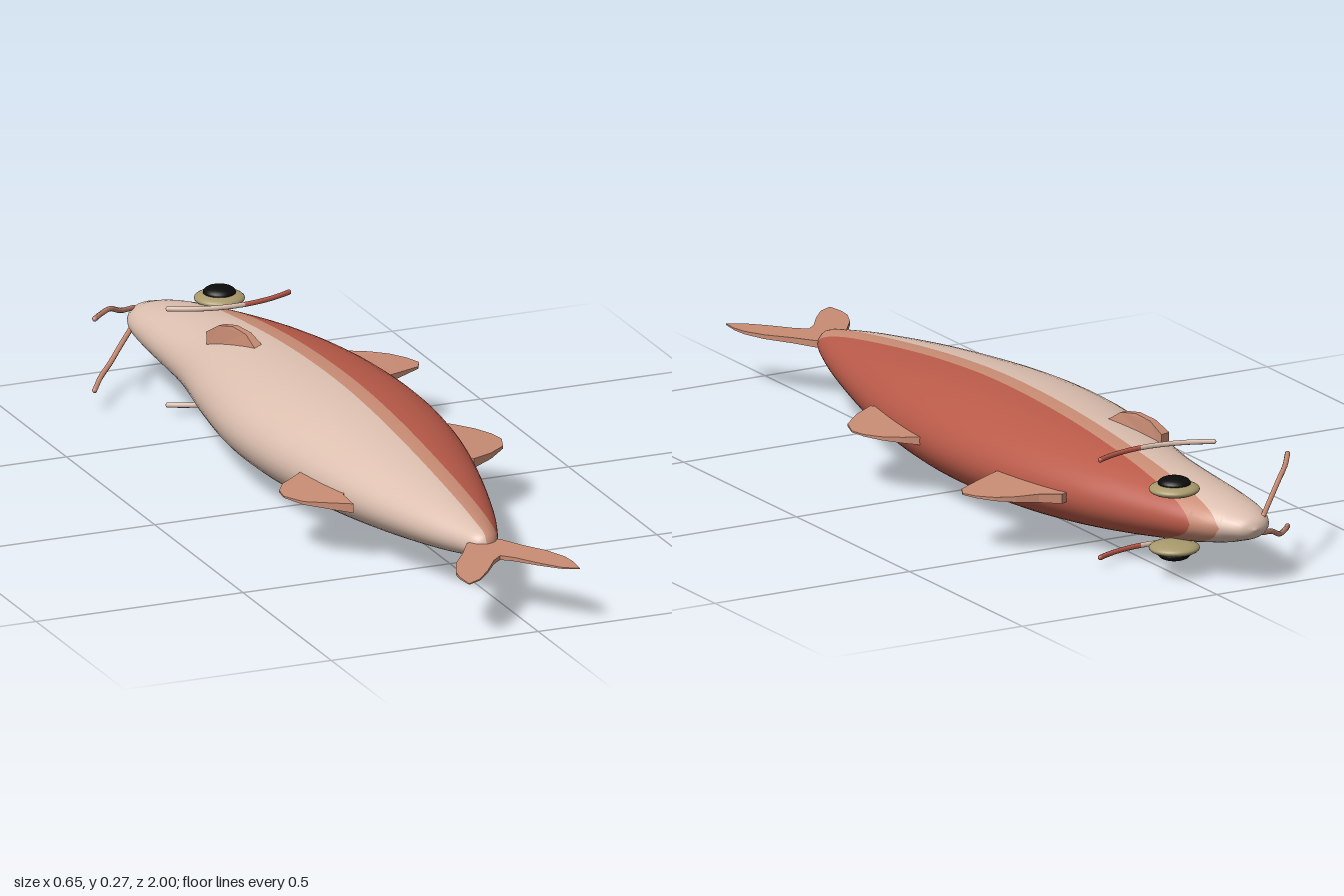
import * as THREE from 'three';

const MID = 0.138; // height of the symmetry plane
const mat = (name, color, side = THREE.FrontSide) =>
  Object.assign(new THREE.MeshStandardMaterial({ color, side }), { name });

// Body stations: z, belly x, back x, half thickness
const STATIONS = [
  [-1.0, -0.1, -0.1, 0], [-0.985, -0.137, -0.066, 0.022], [-0.95, -0.162, -0.035, 0.036],
  [-0.9, -0.175, 0.0, 0.05], [-0.8, -0.182, 0.047, 0.067], [-0.6, -0.193, 0.122, 0.091],
  [-0.4, -0.228, 0.17, 0.11], [-0.2, -0.253, 0.192, 0.12], [0, -0.249, 0.191, 0.12],
  [0.2, -0.222, 0.167, 0.108], [0.4, -0.184, 0.122, 0.087], [0.6, -0.129, 0.065, 0.06],
  [0.72, -0.083, 0.022, 0.039], [0.77, -0.058, -0.002, 0.026], [0.787, -0.03, -0.03, 0],
];
const spline = (f) => new THREE.CatmullRomCurve3(STATIONS.map(f), false, 'catmullrom');

// Loft of ellipses, divided into colour bands at fixed x
function bodyGeometry() {
  const sides = spline((s) => new THREE.Vector3(s[1], s[2], s[3]));
  const length = spline((s) => new THREE.Vector3(s[0], 0, 0));
  const section = (t) => {
    const s = sides.getPoint(t);
    return { c: (s.x + s.y) / 2, a: Math.max(0, (s.y - s.x) / 2), b: Math.max(0, s.z), z: length.getPoint(t).x };
  };
  const point = (s, th) => new THREE.Vector3(s.c + s.a * Math.cos(th), MID + s.b * Math.sin(th), s.z);
  const split = (s, x) => Math.acos(THREE.MathUtils.clamp((x - s.c) / Math.max(s.a, 1e-5), -1, 1));
  // band: start angle, end angle, columns, material index
  const bands = [
    [(s) => -split(s, 0.007), (s) => split(s, 0.007), 24, 0],
    [(s) => split(s, 0.007), (s) => split(s, -0.032), 4, 1],
    [(s) => split(s, -0.032), (s) => 2 * Math.PI - split(s, -0.032), 24, 2],
    [(s) => -split(s, -0.032), (s) => -split(s, 0.007), 4, 1],
  ];
  const rows = 98, pos = [], nor = [], idx = [];
  const geo = new THREE.BufferGeometry();
  for (const [from, to, cols, m] of bands) {
    const base = pos.length / 3, start = idx.length;
    for (let i = 0; i <= rows; i++) {
      const t = i / rows, s = section(t);
      const s0 = section(Math.max(0, t - 1e-3)), s1 = section(Math.min(1, t + 1e-3));
      for (let j = 0; j <= cols; j++) {
        const th = THREE.MathUtils.lerp(from(s), to(s), j / cols);
        const around = new THREE.Vector3(0, s.b * Math.cos(th), 0).setX(-s.a * Math.sin(th));
        const n = around.cross(point(s1, th).sub(point(s0, th)));
        if (i === 0 || i === rows) n.set(0, 0, i ? 1 : -1);
        pos.push(...point(s, th).toArray());
        nor.push(...n.normalize().toArray());
        if (i < rows && j < cols) {
          const p = base + i * (cols + 1) + j, q = p + cols + 1;
          idx.push(p, p + 1, q + 1, p, q + 1, q);
        }
      }
    }
    geo.addGroup(start, idx.length - start, m);
  }
  geo.setAttribute('position', new THREE.Float32BufferAttribute(pos, 3));
  geo.setAttribute('normal', new THREE.Float32BufferAttribute(nor, 3));
  geo.setIndex(idx);
  return geo;
}

// Flat fin from an outline, thinning with distance from its root
function finGeometry(outline, half, rootDistance) {
  const shape = new THREE.Shape(outline.map(([u, v]) => new THREE.Vector2(u, v)));
  const geo = new THREE.ExtrudeGeometry(shape, { depth: 1, bevelEnabled: false });
  geo.translate(0, 0, -0.5);
  const p = geo.attributes.position;
  for (let i = 0; i < p.count; i++) {
    const d = THREE.MathUtils.clamp(rootDistance(p.getX(i), p.getY(i)), 0, 1);
    p.setZ(i, Math.sign(p.getZ(i)) * half * (1 - 0.85 * d));
  }
  geo.computeVertexNormals();
  return geo;
}

export function createModel() {
  const model = new THREE.Group();
  model.name = 'fish';
  const red = mat('back red', 0xb95a49);
  const tan = mat('fin tan', 0xc98c74);
  const cream = mat('belly cream', 0xdcbfaf);
  const khaki = mat('eye ring khaki', 0xa8996c);
  const black = mat('pupil black', 0x0b0b0b);
  const add = (name, geo, material, parent = model) => {
    const mesh = new THREE.Mesh(geo, material);
    mesh.name = name;
    parent.add(mesh);
    return mesh;
  };

  add('body', bodyGeometry(), [red, tan, cream]);

  // Fins in the symmetry plane, outlines as x, z
  const planeFin = (name, outline, half, root) => {
    const mesh = add(name, finGeometry(outline, half, root), tan);
    mesh.rotation.x = Math.PI / 2;
    mesh.position.y = MID;
  };
  planeFin('frontDorsalFin', [[0.11, -0.55], [0.148, -0.57], [0.19, -0.54], [0.24, -0.522], [0.278, -0.497],
    [0.305, -0.462], [0.32, -0.425], [0.305, -0.395], [0.245, -0.365], [0.18, -0.335], [0.14, -0.36]],
  0.011, (x) => (x - 0.17) / 0.15);
  planeFin('rearDorsalFin', [[0.16, 0], [0.19, -0.015], [0.222, 0.01], [0.255, 0.045], [0.277, 0.085],
    [0.285, 0.125], [0.267, 0.175], [0.22, 0.218], [0.165, 0.25], [0.13, 0.2]],
  0.011, (x) => (x - 0.17) / 0.115);
  planeFin('analFin', [[-0.19, 0.18], [-0.225, 0.178], [-0.285, 0.22], [-0.308, 0.255], [-0.314, 0.295],
    [-0.29, 0.35], [-0.245, 0.39], [-0.202, 0.427], [-0.198, 0.36], [-0.16, 0.3]],
  0.011, (x) => (-x - 0.2) / 0.115);

  // Forked tail, one lobe mirrored
  const lobe = [[0.04, 0.765], [0.07, 0.815], [0.11, 0.87], [0.132, 0.92], [0.137, 0.955],
    [0.134, 1.0], [0.1, 0.982], [0.06, 0.935], [0.025, 0.885]];
  const tail = [[-0.03, 0.74], ...lobe.map(([x, z]) => [-0.033 + x, z]), [-0.033, 0.862],
    ...lobe.map(([x, z]) => [-0.033 - x, z]).reverse()];
  planeFin('tailFin', tail, 0.008, (x, z) => (z - 0.76) / 0.24);

  // Paired parts, built on the upper flank and mirrored to the lower one
  const barbelPath = new THREE.CatmullRomCurve3([[-0.14, 0.158, -0.965], [-0.2, 0.18, -0.9],
    [-0.24, 0.202, -0.862], [-0.285, 0.212, -0.81], [-0.322, 0.222, -0.758]].map((p) => new THREE.Vector3(...p)));
  const gill = (x0, x1) => {
    const pts = [];
    for (let i = 0; i <= 8; i++) {
      const x = x0 + ((x1 - x0) * i) / 8, k = (x + 0.032) / 0.147;
      pts.push(new THREE.Vector3(x, 0.251, -0.64 - 0.04 * k * k));
    }
    return new THREE.CatmullRomCurve3(pts);
  };
  const capped = (name, curve, radius, material, parent) => {
    add(name, new THREE.TubeGeometry(curve, 16, radius, 8), material, parent);
    for (const t of [0, 1]) {
      add(name + 'End', new THREE.SphereGeometry(radius, 8, 6), material, parent)
        .position.copy(curve.getPoint(t));
    }
  };
  for (const s of [1, -1]) {
    const side = new THREE.Group();
    side.name = s > 0 ? 'upperFlank' : 'lowerFlank';
    side.scale.y = s;
    side.position.y = s > 0 ? 0 : 2 * MID;
    model.add(side);

    const ring = add('eyeRing', new THREE.SphereGeometry(0.057, 32, 16), khaki, side);
    ring.scale.y = 0.28;
    ring.position.set(0.008, 0.206, -0.825);
    const pupil = add('pupil', new THREE.SphereGeometry(0.037, 28, 14), black, side);
    pupil.scale.y = 0.4;
    pupil.position.set(0.008, 0.22, -0.825);

    capped('barbel', barbelPath, 0.006, tan, side);
    capped('gillLineBack', gill(-0.01, 0.113), 0.006, red, side);
    capped('gillLineBelly', gill(-0.178, -0.01), 0.006, cream, side);

    const fin = add('pectoralFin', finGeometry([[-0.08, 0.2], [-0.08, 0.243], [-0.045, 0.266], [0.0, 0.272],
      [0.045, 0.263], [0.082, 0.24], [0.08, 0.2]], 0.013, (u, v) => (v - 0.24) / 0.06), tan, side);
    fin.rotation.y = Math.PI / 2 + 0.32;
    fin.position.set(-0.11, 0, -0.46);
  }
  return model;
}
